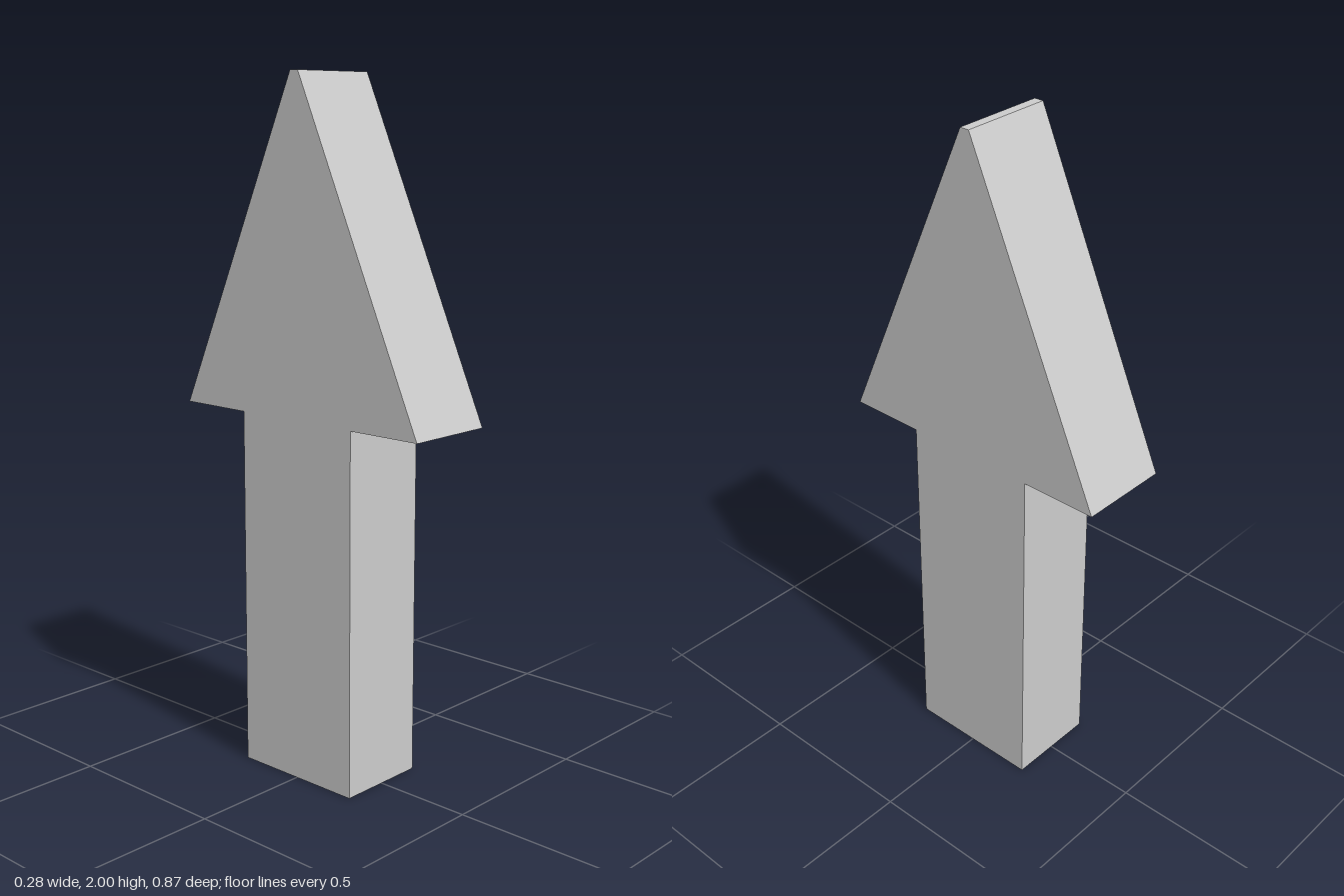
import * as THREE from 'three';

const WIDTH = 0.276; // shared thickness along x
const NECK = 1.056;  // height where head meets shaft

export function createModel() {
  const group = new THREE.Group();
  const material = new THREE.MeshStandardMaterial({ color: 0xcccccc, flatShading: true });

  // Rectangular shaft standing on the ground
  const shaft = new THREE.Mesh(new THREE.BoxGeometry(WIDTH, NECK, 0.41), material);
  shaft.name = 'shaft';
  shaft.position.y = NECK / 2;
  group.add(shaft);

  // Wedge head with a narrow flat tip, extruded across x
  const profile = new THREE.Shape([
    new THREE.Vector2(-0.436, NECK),
    new THREE.Vector2(0.436, NECK),
    new THREE.Vector2(0.014, 2),
    new THREE.Vector2(-0.014, 2),
  ]);
  const headGeometry = new THREE.ExtrudeGeometry(profile, { depth: WIDTH, bevelEnabled: false });
  headGeometry.translate(0, 0, -WIDTH / 2).rotateY(-Math.PI / 2);
  const head = new THREE.Mesh(headGeometry, material);
  head.name = 'arrowHead';
  group.add(head);

  return group;
}
